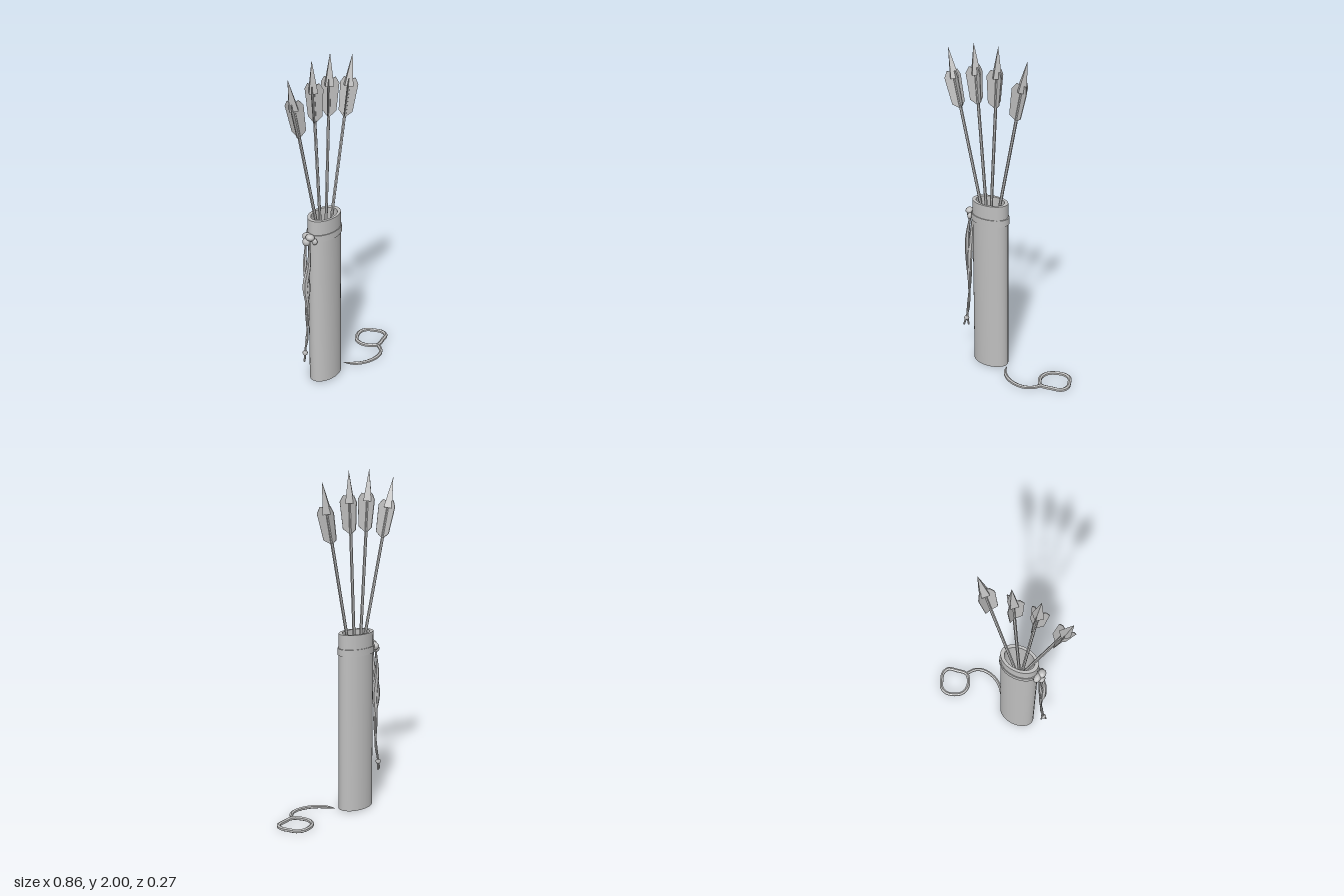
import * as THREE from 'three';
import { toCreasedNormals } from 'three/addons/utils/BufferGeometryUtils.js';

const grey = new THREE.MeshStandardMaterial({ color: 0xbfbfbf, side: THREE.DoubleSide });
grey.name = 'plain grey';

function add(parent, name, geometry, x = 0, y = 0, z = 0) {
  const mesh = new THREE.Mesh(geometry, grey);
  mesh.name = name;
  mesh.position.set(x, y, z);
  parent.add(mesh);
  return mesh;
}

const V = (x, y, z) => new THREE.Vector3(x, y, z);
const creased = (geometry, angle = 0.6) => toCreasedNormals(geometry, angle);

// Lathe from [radius, height] pairs
const lathe = (profile, sides) =>
  creased(new THREE.LatheGeometry(profile.map(([r, y]) => new THREE.Vector2(r, y)), sides));

// Tube whose radius follows radiusAt(t)
function cord(points, segments, sides, radiusAt, closed = false) {
  const curve = new THREE.CatmullRomCurve3(points, closed);
  const geometry = new THREE.TubeGeometry(curve, segments, 1, sides, closed);
  const pos = geometry.attributes.position;
  const p = V(0, 0, 0);
  for (let i = 0; i < pos.count; i++) {
    const t = Math.floor(i / (sides + 1)) / segments;
    const centre = curve.getPointAt(t);
    p.fromBufferAttribute(pos, i).sub(centre).multiplyScalar(radiusAt(t)).add(centre);
    pos.setXYZ(i, p.x, p.y, p.z);
  }
  return creased(geometry, 0.9);
}

// Arrow from the quiver mouth to its end, with the shaft carried on inside
function makeArrow(start, end) {
  const arrow = new THREE.Group();
  arrow.name = 'arrow';
  arrow.position.copy(start);
  const dir = end.clone().sub(start);
  const length = dir.length();
  arrow.quaternion.setFromUnitVectors(V(0, 1, 0), dir.normalize());

  const inside = 0.62, shaftLength = length - 0.1 + inside;
  add(arrow, 'shaft', creased(new THREE.CylinderGeometry(0.009, 0.009, shaftLength, 6)),
    0, shaftLength / 2 - inside, 0);

  const vane = new THREE.Shape([[0, 0], [0.044, 0.035], [0.057, 0.19], [0.036, 0.225], [0, 0.215]]
    .map(([x, y]) => new THREE.Vector2(x, y)));
  const vaneGeometry = new THREE.ExtrudeGeometry(vane, { depth: 0.004, bevelEnabled: false });
  vaneGeometry.translate(0, 0, -0.002);
  for (let i = 0; i < 3; i++) {
    add(arrow, 'vane', vaneGeometry, 0, length - 0.36, 0).rotation.y = Math.PI / 2 + i * Math.PI * 2 / 3;
  }
  // Pointed end
  add(arrow, 'point', creased(new THREE.ConeGeometry(0.034, 0.18, 4)), 0, length - 0.09, 0);
  return arrow;
}

export function createModel() {
  const model = new THREE.Group();
  model.name = 'quiverWithArrows';

  // Oval quiver: outer wall, rim, inner wall and floor
  const quiver = new THREE.Group();
  quiver.name = 'quiver';
  quiver.position.set(-0.145, 0, -0.027);
  quiver.scale.set(1, 1, 0.66);
  model.add(quiver);
  add(quiver, 'body', lathe([[0, 0.005], [0.116, 0.005], [0.116, 1.075], [0.092, 1.075],
    [0.092, 0.05], [0, 0.05]], 32));
  add(quiver, 'band', lathe([[0.114, 0.95], [0.123, 0.95], [0.123, 0.99], [0.114, 0.99]], 32));

  // Arrows fanned out across the mouth
  [
    [-0.222, -0.027, -0.428, 1.945, -0.027],
    [-0.18, -0.03, -0.245, 2.0, -0.02],
    [-0.132, -0.022, -0.084, 2.0, -0.027],
    [-0.072, -0.025, 0.108, 1.95, -0.025],
  ].forEach(([x0, z0, x1, y1, z1]) => model.add(makeArrow(V(x0, 1.08, z0), V(x1, y1, z1))));

  // Knot at the side of the band
  const knot = new THREE.Group();
  knot.name = 'knot';
  model.add(knot);
  const lump = creased(new THREE.IcosahedronGeometry(1, 1), 0.9);
  [
    [-0.272, 0.975, -0.045, 0.022, 0.026, 0.034],
    [-0.285, 0.985, -0.015, 0.024, 0.02, 0.028],
    [-0.295, 0.955, -0.035, 0.02, 0.024, 0.024],
    [-0.27, 0.96, 0.005, 0.014, 0.02, 0.018],
  ].forEach(([x, y, z, sx, sy, sz]) => add(knot, 'knotLump', lump, x, y, z).scale.set(sx, sy, sz));

  // Two strands hanging from the knot
  const strand = (t) => 0.006 + 0.011 * Math.sin(Math.PI * Math.min(1, t * 1.5)) ** 2;
  add(model, 'hangingStrand', cord([V(-0.283, 0.96, -0.02), V(-0.302, 0.82, -0.012), V(-0.315, 0.68, -0.03),
    V(-0.303, 0.5, -0.02), V(-0.315, 0.32, -0.03), V(-0.333, 0.24, -0.025), V(-0.347, 0.19, -0.02)],
  28, 6, strand));
  add(model, 'hangingStrand', cord([V(-0.285, 0.95, -0.045), V(-0.297, 0.82, -0.045), V(-0.3, 0.66, -0.025),
    V(-0.305, 0.5, -0.035), V(-0.314, 0.34, -0.02), V(-0.328, 0.25, -0.03), V(-0.322, 0.19, -0.035)],
  28, 6, strand));
  add(model, 'strandTie', creased(new THREE.IcosahedronGeometry(0.016, 1), 0.9), -0.331, 0.24, -0.027);

  // Loose cord lying on the ground: a tapering tail and a closed loop
  const lying = (pairs) => pairs.map(([x, z]) => V(x, 0.013, z));
  add(model, 'cordTail', cord(lying([[-0.007, 0.003], [0.005, 0.035], [0.035, 0.075], [0.08, 0.108],
    [0.14, 0.127], [0.2, 0.125], [0.245, 0.1], [0.275, 0.055]]), 24, 6,
  (t) => Math.min(0.011, 0.002 + t * 0.05)));
  add(model, 'cordLoop', cord(lying([[0.275, 0.053], [0.24, 0.015], [0.225, -0.03], [0.237, -0.08],
    [0.28, -0.113], [0.333, -0.126], [0.375, -0.108], [0.397, -0.068], [0.415, -0.02],
    [0.4, 0.025], [0.345, 0.042]]), 32, 6, () => 0.012, true));

  return model;
}
